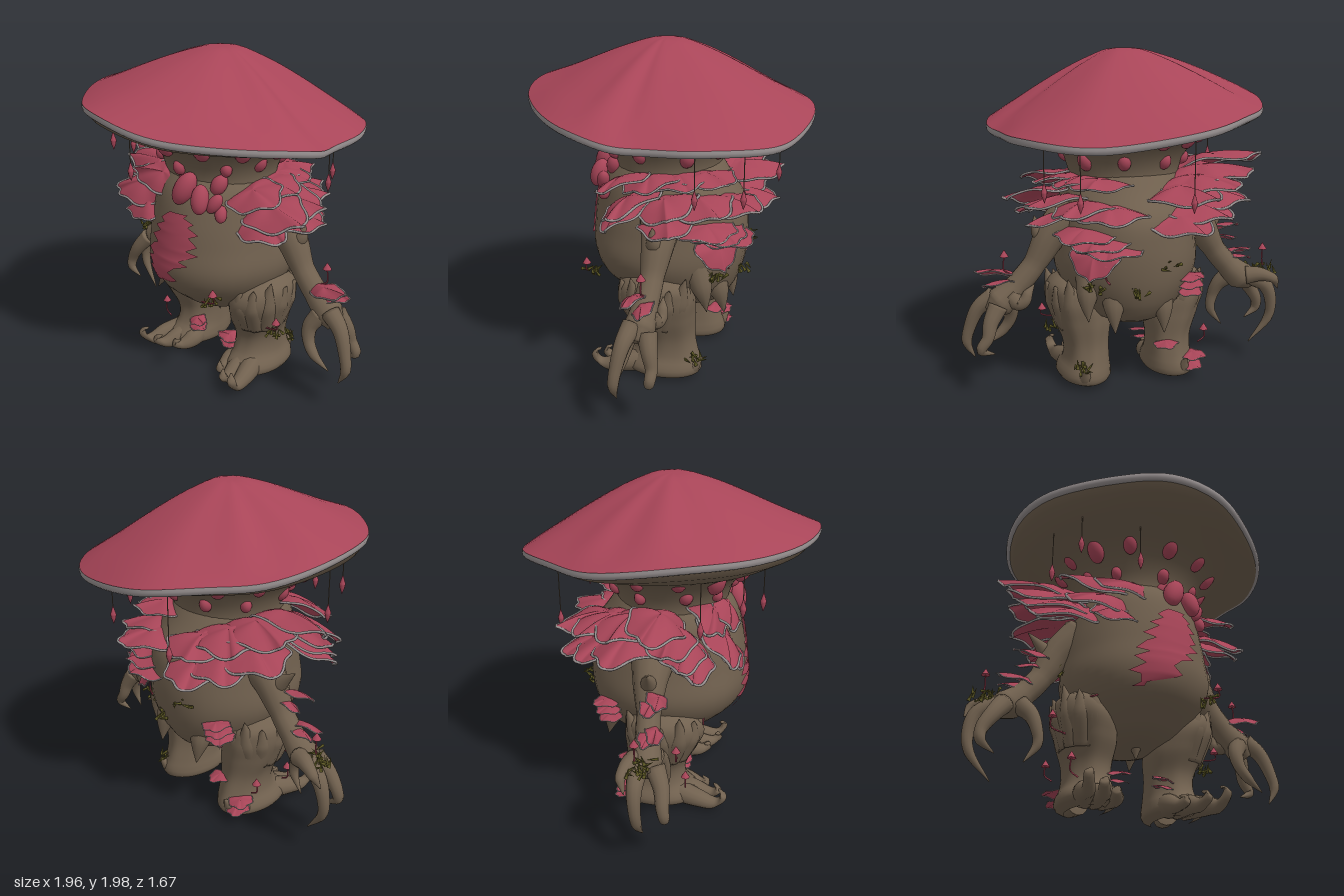
import * as THREE from 'three';

const mat = (name, color, side = THREE.FrontSide) => {
  const m = new THREE.MeshStandardMaterial({ color, side });
  m.name = name;
  return m;
};
const V = (p) => new THREE.Vector3(...p);
const P = Math.PI;

export function createModel() {
  const root = new THREE.Group();
  const bark = mat('bark brown', 0x71614f);
  const pink = mat('mushroom pink', 0xa84558, THREE.DoubleSide);
  const grey = mat('pale edge', 0x979090);
  const moss = mat('moss olive', 0x5f5a26);

  let seed = 7;
  const rnd = () => (seed = (seed * 16807) % 2147483647) / 2147483647;
  const add = (geo, m, name, parent = root) => {
    const mesh = new THREE.Mesh(geo, m);
    mesh.name = name;
    parent.add(mesh);
    return mesh;
  };

  // Grid surface from fn(row, column) -> [x, y, z]; wrap joins the columns
  const surface = (rows, cols, fn, wrap = true) => {
    const pos = [], idx = [], n = wrap ? cols : cols + 1;
    for (let i = 0; i <= rows; i++)
      for (let j = 0; j < n; j++) pos.push(...fn(i / rows, j / cols));
    for (let i = 0; i < rows; i++)
      for (let j = 0; j < cols; j++) {
        const a = i * n + j, b = i * n + ((j + 1) % n);
        idx.push(a, a + n, b, b, a + n, b + n);
      }
    const g = new THREE.BufferGeometry();
    g.setAttribute('position', new THREE.Float32BufferAttribute(pos, 3));
    g.setIndex(idx);
    g.computeVertexNormals();
    return g;
  };

  // Smooth interpolation through rows [key, ...values]
  const smooth = (rows) => {
    const c = new THREE.CubicInterpolant(rows.map((r) => r[0]), rows.flatMap((r) => r.slice(1)), rows[0].length - 1);
    return (y) => Array.from(c.evaluate(y));
  };

  // Upright lumpy form through rings [y, x, z, rx, rz]
  const loft = (rings, bump) => {
    const at = smooth(rings), y0 = rings[0][0], y1 = rings[rings.length - 1][0];
    return surface(32, 40, (u, v) => {
      const y = y0 + (y1 - y0) * u, [x, z, rx, rz] = at(y), a = v * P * 2;
      const k = 1 + bump * Math.sin(7 * a + 5 * y) * Math.sin(P * u);
      return [x + Math.max(rx, 0) * k * Math.cos(a), y, z + Math.max(rz, 0) * k * Math.sin(a)];
    });
  };

  // Tapered round limb through points [x, y, z, radius]
  const limb = (pts, name, m = bark, parent = root, sides = 12) => {
    const curve = new THREE.CatmullRomCurve3(pts.map((p) => V(p.slice(0, 3))));
    const N = pts.length * 5, fr = curve.computeFrenetFrames(N), k = pts.length - 1;
    return add(surface(N + 2, sides, (u, v) => {
      const i = Math.min(Math.max(Math.round(u * (N + 2)) - 1, 0), N), t = i / N;
      const s = Math.min(Math.floor(t * k), k - 1), f = t * k - s, a = v * P * 2;
      const r = u === 0 || u === 1 ? 0 : pts[s][3] * (1 - f) + pts[s + 1][3] * f;
      return curve.getPoint(t).addScaledVector(fr.normals[i], r * Math.cos(a))
        .addScaledVector(fr.binormals[i], -r * Math.sin(a)).toArray();
    }), m, name, parent);
  };

  // Bracket shelf: leaf-shaped plate with a pale rolled edge
  const shelf = (name, [x, y, z, yaw, pitch, roll, len, w]) => {
    const g = new THREE.Group();
    g.name = name;
    g.position.set(x, y, z);
    g.rotation.set(roll, yaw, pitch, 'YZX');
    root.add(g);
    const ph = rnd() * 6;
    const at = (r, v) => {
      const a = v * P * 2, e = 1 + .05 * r * Math.sin(7 * a + ph);
      return [len * (.4 + r * (.1 + .5 * Math.cos(a)) * e), len * (.12 * (1 - r * r) + .03 * r * Math.sin(4 * a + ph)),
        w * 1.25 * r * Math.sin(a) * Math.sin(a / 2) ** .6 * e];
    };
    add(surface(5, 36, (u, v) => at(1 - u, v)), pink, 'plate', g);
    const edge = new THREE.CatmullRomCurve3(Array.from({ length: 36 }, (_, i) => V(at(1, i / 36))), true);
    add(new THREE.TubeGeometry(edge, 72, Math.min(.0075, len * .02), 6, true), grey, 'edge', g);
  };
  // Row of shelves blending from one placement to another
  const fan = (name, n, from, to) => {
    for (let i = 0; i < n; i++) shelf(name, from.map((f, k) => f + (to[k] - f) * i / (n - 1)));
  };

  // Cap: irregular outline with a tilted rim
  const outline = new THREE.CatmullRomCurve3([[.79, .1], [.7, .36], [.4, .67], [.15, .81], [-.15, .81], [-.4, .69],
    [-.7, .36], [-.8, 0], [-.73, -.35], [-.55, -.58], [-.26, -.81], [.2, -.81], [.49, -.7], [.7, -.4],
    [.75, -.1]].map(([x, z]) => new THREE.Vector3(x, 0, z)), true);
  const rimY = (p, v) => 1.625 - .1 * p.x + .08 * p.z + .012 * Math.sin(v * P * 10);
  const domeAt = smooth([[0, 1], [.12, .985], [.25, .88], [.4, .73], [.63, .46], [.75, .31], [.89, .14], [1, 0]]);
  add(surface(24, 90, (u, v) => {
    const t = 1 - u, p = outline.getPoint(v), y = rimY(p, v);
    const fold = .012 * Math.sin(v * P * 14 + 2 * Math.sin(v * P * 4)) * t * t * (1 - t) * 6;
    return [p.x * t, y + (1.98 - y) * domeAt(t)[0] + fold, p.z * t];
  }), pink, 'capTop');
  const lip = [[.972, -.036], [.99, -.038], [1.002, -.028], [1.005, -.012], [1, .003]];
  add(surface(4, 90, (u, v) => {
    const [t, dy] = lip[Math.round(u * 4)], p = outline.getPoint(v);
    return [p.x * t, rimY(p, v) + dy, p.z * t];
  }), grey, 'capRim');

  // Neck flaring into the underside: [round radius, height, rim blend]
  const flare = [[.33, 1.18, 0], [.33, 1.28, 0], [.355, 1.36, 0], [.41, 1.44, 0], [.48, 1.5, .08],
    [.58, 1.54, .35], [.7, 1.57, .7], [.8, 1.589, 1]];
  add(surface(7, 60, (u, v) => {
    const [r, y, k] = flare[Math.round(u * 7)], p = outline.getPoint(v), a = Math.atan2(p.z, p.x);
    const x = r * Math.cos(a), z = r * Math.sin(a);
    return [x + (p.x * .975 - x) * k, y + (rimY(p, v) - 1.625) * k, z + (p.z * .975 - z) * k];
  }), bark, 'neckAndUnderside');

  // Raised spots around the neck: [count, height, distance, half width, half height]
  [[13, 1.49, .455, .046, .07], [9, 1.36, .35, .038, .05]].forEach(([n, y, r, w, h]) => {
    for (let i = 0; i < n; i++) {
      const a = (i + .35 * rnd()) / n * P * 2, s = .8 + .4 * rnd();
      const spot = add(new THREE.SphereGeometry(1, 14, 10), pink, 'neckSpot');
      spot.scale.set(w * s, h * s, .04);
      spot.position.set(r * Math.cos(a), y + .04 * (rnd() - .5), r * Math.sin(a));
      spot.rotation.set(.5, P / 2 - a, 0, 'YXZ');
    }
  });

  // Body with bark points hanging below
  const bodyRings = [[.35, 0, -.1, 0, 0], [.42, 0, -.08, .2, .25], [.5, 0, -.06, .3, .35], [.6, 0, -.03, .38, .43],
    [.72, 0, -.02, .43, .47], [.9, 0, -.03, .42, .47], [1.05, 0, -.03, .4, .45], [1.2, 0, 0, .36, .38], [1.3, 0, 0, .31, .32]];
  add(loft(bodyRings, .012), bark, 'body');
  [[0, .32, .02], [.16, .39, -.41], [-.14, .36, -.39], [.3, .45, -.34]]
    .forEach(([x, y, z]) => limb([[x * .85, y + .32, z * .7, .1], [x, y + .14, z * .92, .06], [x, y, z, .002]], 'barkPoint'));

  // Jagged chest patch following the belly: [height, left, right]
  const bodyAt = smooth(bodyRings);
  const patch = [[.61, -.19, -.13], [.63, -.15, -.12], [.67, -.16, .04], [.69, -.22, .08], [.73, -.14, .02],
    [.77, -.2, .07], [.8, -.12, .16], [.82, -.19, .1], [.87, -.13, .21], [.89, -.08, .14], [.92, -.15, .2],
    [.97, -.06, .15], [.99, -.11, .2], [1.03, -.03, .14], [1.05, -.06, .17], [1.08, -.02, .11], [1.1, .01, .13]];
  add(surface(patch.length - 1, 10, (u, v) => {
    const [y, l, r] = patch[Math.round(u * (patch.length - 1))], [cx, cz, rx, rz] = bodyAt(y);
    const x = r + (l - r) * v;
    return [x, y, cz + rz * 1.01 * Math.sqrt(1 - ((x - cx) / rx) ** 2) + .009];
  }, false), pink, 'chestPatch');

  // Legs, thigh points, curled toes and ankle shelves
  for (const s of [-1, 1]) {
    const leg = new THREE.Group();
    leg.name = s < 0 ? 'rightLeg' : 'leftLeg';
    root.add(leg);
    add(loft([[.01, s * .27, -.07, .1, .18], [.03, s * .27, -.06, .15, .23], [.08, s * .27, -.06, .16, .24],
      [.14, s * .26, -.08, .14, .2], [.25, s * .26, -.08, .135, .175], [.4, s * .28, -.05, .17, .21],
      [.54, s * .32, -.03, .165, .23], [.63, s * .35, -.04, .11, .17], [.69, s * .36, -.04, 0, 0]], .03), bark, 'leg', leg);
    for (let i = 0; i < 7; i++) {
      const a = -1.7 + i * .55, c = Math.cos(a), n = Math.sin(a), top = .62 + .05 * (i % 3 === 1) + .02 * rnd();
      limb([[s * (.3 + .07 * c), .36, -.04 + .1 * n, .07], [s * (.32 + .12 * c), .52, -.03 + .18 * n, .06],
        [s * (.33 + .16 * c), top, -.04 + .22 * n, .003]], 'thighPoint', bark, leg);
    }
    [[.17, .2, .02], [.27, .27, .04], [.37, .3, .07]].forEach(([x, z, lift]) => limb([[s * (.12 + x * .5), .08, .02, .075],
      [s * x, .06, z * .6, .055], [s * (x + .02), .045, z - .02, .036], [s * (x + .04), .05 + lift, z + .03, .025],
      [s * (x + .01), .07 + lift, z, .005]], 'toe', bark, leg));
    limb([[s * .28, .08, -.15, .07], [s * .3, .07, -.25, .05], [s * .31, .15, -.32, .004]], 'heelPoint', bark, leg);
    const inward = s < 0 ? 0 : P;
    fan('ankleShelf', 2, [s * .2, .2, .06, inward + s * .3, .05, -s * .3, .14, .05], [s * .2, .16, .06, inward + s * .2, 0, -s * .3, .13, .05]);
  }

  // Arms with thorns and long hooked fingers
  limb([[.32, 1.05, -.08, .14], [.46, .93, -.1, .1], [.56, .76, -.1, .07], [.67, .63, -.1, .072], [.77, .54, -.1, .09], [.82, .48, -.1, .05]], 'leftArm');
  limb([[-.32, 1.05, -.08, .14], [-.46, .92, -.1, .1], [-.55, .77, -.1, .07], [-.64, .66, -.1, .07], [-.74, .57, -.1, .09], [-.81, .53, -.1, .05]], 'rightArm');
  const taper = [.058, .046, .036, .03, .003];
  const finger = (...pts) => limb(pts.map((p, i) => [...p, taper[i]]), 'finger');
  finger([.8, .57, -.07], [.89, .5, -.05], [.945, .38, -.03], [.965, .28, -.02], [.92, .18, -.02]);
  finger([.79, .53, -.15], [.84, .44, -.18], [.86, .36, -.2], [.9, .29, -.2], [.82, .25, -.18]);
  finger([.74, .54, -.06], [.7, .46, -.02], [.71, .38, 0], [.76, .31, .01], [.86, .24, 0]);
  finger([.71, .58, -.13], [.67, .54, -.16], [.64, .56, -.18], [.62, .6, -.18], [.58, .65, -.17]);
  finger([-.78, .58, -.13], [-.89, .51, -.15], [-.93, .4, -.15], [-.92, .29, -.14], [-.8, .13, -.12]);
  finger([-.77, .56, -.05], [-.84, .47, -.01], [-.9, .37, 0], [-.9, .31, .01], [-.82, .25, 0]);
  finger([-.68, .57, -.06], [-.62, .51, -.03], [-.59, .43, -.01], [-.58, .34, -.01], [-.65, .23, -.02]);
  finger([-.75, .59, -.16], [-.82, .6, -.19], [-.87, .59, -.21], [-.91, .57, -.22], [-.95, .5, -.2]);
  for (const s of [-1, 1])
    limb([[s * .46, .87, -.1, .07], [s * .54, .95, -.1, .045], [s * (.6 - s * .04), 1.04, -.1, .003]], 'armThorn');

  // Shelves: [x, y, z, yaw, pitch, roll, length, half width] at both ends of each row
  fan('rightShoulderShelf', 4, [-.27, 1.25, -.02, P - .15, .14, -.3, .58, .15], [-.26, 1.1, .1, P + .1, -.12, -.4, .46, .14]);
  fan('rightChestShelf', 2, [-.16, 1.17, .22, P + .3, -.22, -.6, .44, .14], [-.17, 1.1, .27, P + .45, -.4, -.6, .3, .13]);
  fan('collarShelf', 2, [-.1, 1.24, .2, P + .05, .06, -.55, .48, .12], [.01, 1.24, .27, P + .15, -.03, -.7, .42, .11]);
  fan('rightBackShelf', 3, [-.24, 1.24, -.12, P - .35, .06, .1, .5, .2], [-.14, 1.18, -.24, P - 1.05, 0, .1, .44, .2]);
  fan('rightBackLowShelf', 3, [-.26, 1.13, -.14, P - .4, -.05, .1, .46, .19], [-.14, 1.05, -.28, P - 1.1, -.15, .1, .38, .19]);
  fan('leftShoulderShelf', 4, [.26, 1.22, .1, -.25, 0, .35, .34, .15], [.16, 1.24, -.2, 1, 0, 0, .3, .18]);
  fan('leftMiddleShelf', 4, [.28, 1.13, .04, -.1, -.04, .4, .43, .16], [.14, 1.1, -.28, 1.25, -.05, 0, .36, .2]);
  fan('leftLowShelf', 2, [.28, 1.08, .08, -.2, -.18, .4, .36, .14], [.3, 1.04, -.1, .35, -.1, .2, .34, .16]);
  fan('leftBackShelf', 3, [.24, .98, -.26, .75, -.12, 0, .27, .18], [.16, .91, -.34, 1.2, -.12, 0, .25, .18]);
  shelf('leftBackDroop', [.24, .93, -.34, .95, -1, 0, .24, .14]);
  fan('rightElbowShelf', 2, [-.52, .87, -.05, P, .1, -.4, .22, .06], [-.52, .83, -.08, P - .2, -.05, -.4, .18, .05]);
  fan('rightWristShelf', 2, [-.6, .71, -.06, P, .08, -.4, .22, .05], [-.6, .69, -.08, P - .2, 0, -.4, .2, .05]);
  fan('leftWristShelf', 2, [.67, .68, -.06, 0, .15, .4, .24, .06], [.67, .65, -.1, .2, 0, .4, .21, .06]);
  fan('lowerBackShelf', 3, [-.27, .68, -.33, P - .9, .05, .1, .14, .08], [-.27, .6, -.31, P - .8, -.15, .1, .13, .08]);
  fan('rightHeelShelf', 2, [-.33, .14, -.2, P - .8, 0, .1, .15, .07], [-.33, .09, -.2, P - 1.1, -.1, .1, .14, .07]);
  shelf('rightCalfShelf', [-.2, .24, -.2, P / 2, -.1, .1, .13, .07]);

  // Fruit bulbs at the collar
  [[.075, 1.24, .37, .06, .105, .4], [.19, 1.2, .36, .052, .085, -.15], [.03, 1.3, .3, .045, .07, .4], [.255, 1.18, .31, .038, .065, .5],
    [.285, 1.12, .29, .035, .05, -.2], [.23, 1.27, .25, .045, .065, .4]].forEach(([x, y, z, r, h, t]) => {
    const b = add(new THREE.SphereGeometry(1, 18, 14), pink, 'bulb');
    b.scale.set(r, h, r);
    b.position.set(x, y, z);
    b.rotation.set(-.3, 0, -t);
  });

  // Hanging threads with teardrop ends
  [[-.52, 1.4, .4], [-.61, 1.31, .18], [-.21, 1.31, .52], [.54, 1.22, -.33], [.39, 1.2, -.56], [-.22, 1.18, -.63]].forEach(([x, y, z]) => {
    limb([[x, 1.59 - .07 * x + .055 * z, z, .003], [x, y, z, .003]], 'thread', bark, root, 5);
    limb([[x, y + .05, z, .003], [x, y, z, .018], [x, y - .025, z, .014], [x, y - .06, z, .001]], 'threadDrop', pink, root, 8);
  });

  // Sprouting toadstools: [base x, y, z, tip x, tip y]
  [[-.87, .64, -.15, -.86, .76], [-.36, .58, .2, -.31, .7], [-.44, .4, .05, -.52, .5], [-.38, .15, .1, -.42, .26], [.24, .6, .4, .33, .68],
    [.7, .7, -.1, .74, .82], [.4, .36, .05, .5, .43], [.2, .7, -.44, .22, .82], [-.42, .2, -.2, -.46, .29]].forEach(([x, y, z, tx, ty]) => {
    limb([[x, y, z, .005], [x + (tx - x) * 1.1, y + .03, z, .005], [tx, ty, z, .004]], 'stalk', pink, root, 5);
    add(new THREE.ConeGeometry(.026, .042, 10), pink, 'toadstoolCap').position.set(tx, ty + .01, z);
  });

  // Moss tufts
  [[-.9, .62, -.14], [-.84, .62, -.1], [.28, .61, .38], [.45, .33, -.02], [-.15, .8, -.48], [.28, .68, -.38],
    [.05, .66, -.49], [.32, .15, -.29], [-.43, .82, -.06]].forEach(([x, y, z]) => {
    for (let i = 0; i < 9; i++) {
      const leaf = add(new THREE.ConeGeometry(.011, .065, 4), moss, 'mossLeaf');
      leaf.position.set(x + (rnd() - .5) * .09, y + (rnd() - .5) * .05, z + (rnd() - .5) * .09);
      leaf.rotation.set(rnd() * 3 - 1.5, rnd() * 6, rnd() * 3 - 1.5);
    }
  });
  return root;
}
